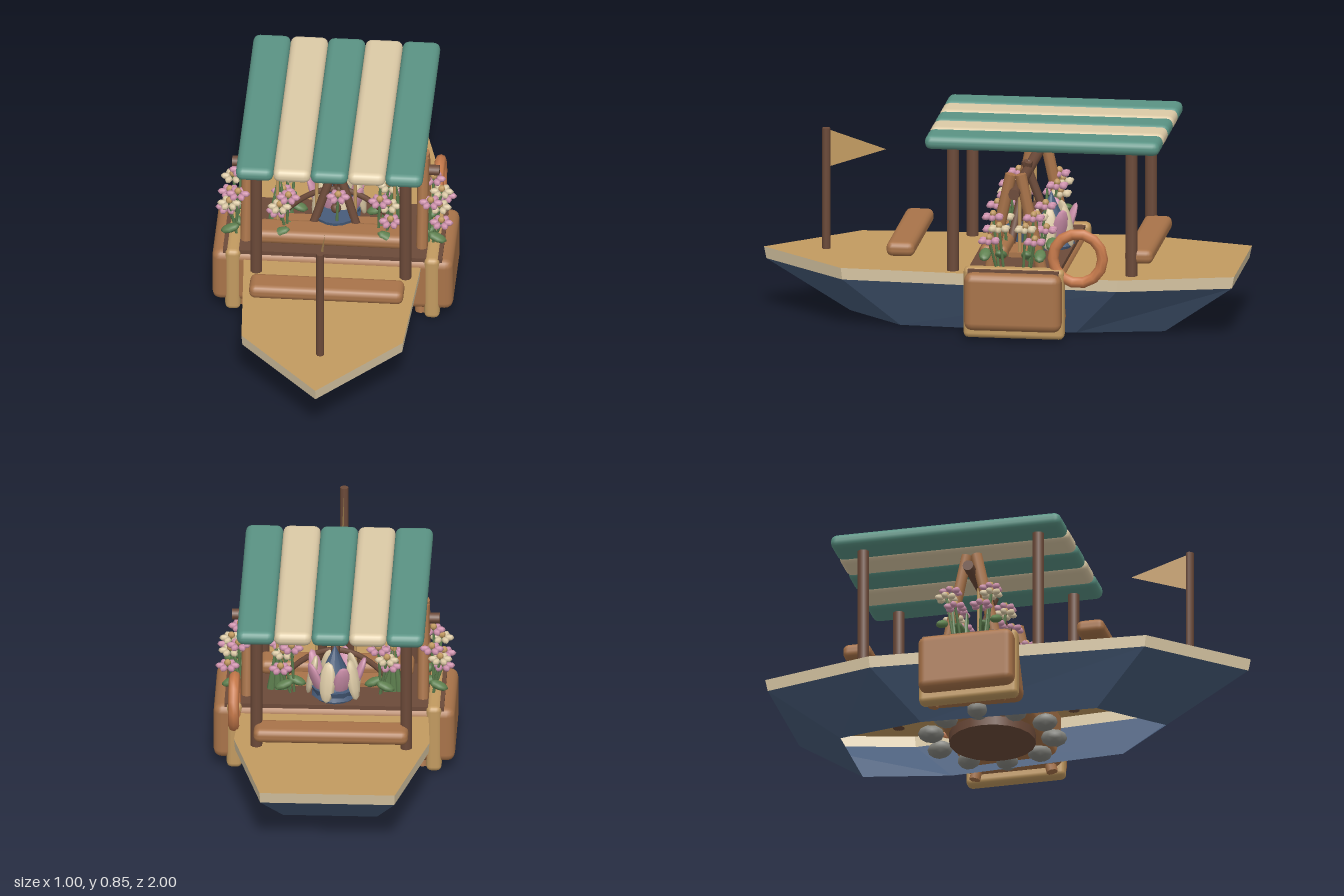
import * as THREE from 'three';
import { RoundedBoxGeometry } from 'three/addons/geometries/RoundedBoxGeometry.js';

const mat = (name, color) => {
  const m = new THREE.MeshStandardMaterial({ color, side: THREE.DoubleSide });
  m.name = name;
  return m;
};

export function createModel() {
  const model = new THREE.Group();
  model.name = 'gardenBoat';
  const teal = mat('teal', 0x5a9384), cream = mat('cream', 0xdccaa6), tan = mat('tan', 0xc29a60),
    brown = mat('brown', 0xa87349), dark = mat('darkBrown', 0x6c4a39), blue = mat('slateBlue', 0x475c7a),
    green = mat('leafGreen', 0x5f8150), pink = mat('pink', 0xcf92ad), grey = mat('stoneGrey', 0x85857f),
    coral = mat('coral', 0xc97b4c);

  const add = (name, geo, material, x = 0, y = 0, z = 0, parent = model) => {
    const m = new THREE.Mesh(geo, material);
    m.name = name;
    m.position.set(x, y, z);
    parent.add(m);
    return m;
  };
  const rounded = (name, w, h, d, r, material, x, y, z) =>
    add(name, new RoundedBoxGeometry(w, h, d, 2, r), material, x, y, z);
  // Round pole between two points
  const pole = (name, a, b, r, material, sides = 8, parent = model, rTop = r) => {
    const p = new THREE.Vector3(...a), q = new THREE.Vector3(...b), dir = q.clone().sub(p);
    const m = add(name, new THREE.CylinderGeometry(rTop, r, dir.length(), sides), material, 0, 0, 0, parent);
    m.position.copy(p).add(q).multiplyScalar(0.5);
    m.quaternion.setFromUnitVectors(new THREE.Vector3(0, 1, 0), dir.normalize());
    return m;
  };

  // Hull: flat-faced walls lofted between outlines given as [x, z]
  const mirror = half => [...half, ...half.slice(1).reverse().map(([x, z]) => [-x, z])];
  const rim = mirror([[0, 1], [0.335, 0.635], [0.405, -0.53], [0.28, -1]]);
  const keel = mirror([[0, 0.64], [0.23, 0.4], [0.27, -0.34], [0.195, -0.7]]);
  const wall = (low, y0, high, y1) => {
    const v = [];
    low.forEach((a, i) => {
      const j = (i + 1) % low.length, b = low[j], c = high[j], d = high[i];
      v.push(a[0], y0, a[1], b[0], y0, b[1], c[0], y1, c[1], a[0], y0, a[1], c[0], y1, c[1], d[0], y1, d[1]);
    });
    const g = new THREE.BufferGeometry();
    g.setAttribute('position', new THREE.Float32BufferAttribute(v, 3));
    g.computeVertexNormals();
    return g;
  };
  const band = rim.map(([x, z]) => [x * 0.99, z * 0.99]);
  add('hull', wall(keel, 0.005, band, 0.215), blue);
  add('gunwaleBand', wall(band, 0.215, rim, 0.265), cream);
  const deckShape = new THREE.Shape(rim.map(([x, z]) => new THREE.Vector2(x, -z)));
  add('deck', new THREE.ShapeGeometry(deckShape).rotateX(-Math.PI / 2), tan, 0, 0.265, 0);

  // Canopy stripes and posts
  for (let i = 0; i < 5; i++) {
    rounded('canopyStripe', 0.156, 0.06, 0.98, 0.028, i % 2 ? cream : teal, (i - 2) * 0.155, 0.82, -0.21);
  }
  for (const x of [-0.31, 0.31]) for (const z of [0.17, -0.575]) {
    pole('canopyPost', [x, 0.265, z], [x, 0.8, z], 0.025, dark, 10);
  }

  // Benches
  for (const z of [0.39, 0, -0.605]) rounded('bench', 0.64, 0.062, 0.118, 0.026, brown, 0, 0.345, z);

  // Flagpole and pennant
  pole('flagpole', [0, 0.265, 0.74], [0, 0.778, 0.74], 0.017, dark);
  const pennant = new THREE.Shape([[0, 0.61], [0.25, 0.695], [0, 0.775]].map(p => new THREE.Vector2(...p)));
  add('pennant', new THREE.ShapeGeometry(pennant).rotateY(Math.PI / 2), tan, 0, 0, 0.74);

  // Life ring hung on one side
  const ring = add('lifeRing', new THREE.TorusGeometry(0.104, 0.023, 8, 14), coral, 0.41, 0.355, -0.365);
  ring.rotation.y = Math.PI / 2;

  // Crosswise planter trunk with straps and soil
  rounded('planterTrunk', 1, 0.245, 0.405, 0.035, brown, 0, 0.172, -0.1);
  for (const x of [-0.413, 0.413]) rounded('planterStrap', 0.064, 0.3, 0.42, 0.022, tan, x, 0.16, -0.1);
  add('soil', new THREE.BoxGeometry(0.91, 0.025, 0.38), dark, 0, 0.292, -0.1);

  // Stone ring and hearth disc under the trunk
  for (let i = 0; i < 10; i++) {
    const a = i / 10 * Math.PI * 2;
    const s = add('hearthStone', new THREE.IcosahedronGeometry(0.055, 1), grey,
      Math.cos(a) * 0.255, 0.037, -0.1 + Math.sin(a) * 0.255);
    s.scale.set(1, 0.65, 0.85);
    s.rotation.y = -a;
  }
  add('hearthDisc', new THREE.CylinderGeometry(0.18, 0.18, 0.04, 20), dark, 0, 0.026, -0.1);

  // Swing frame: two A-frames, a crossbar and two hanging seats
  for (const x of [-0.365, 0.365]) for (const s of [-1, 1]) {
    pole('swingLeg', [x, 0.02, -0.1 + s * 0.165], [x, 0.695, -0.1 + s * 0.02], 0.024, brown, 8);
  }
  pole('swingCrossbar', [-0.43, 0.622, -0.1], [0.43, 0.622, -0.1], 0.023, dark, 10);
  for (const s of [-1, 1]) {
    for (const x of [0.08, 0.243]) pole('swingRope', [s * x, 0.32, -0.1], [s * x, 0.62, -0.1], 0.007, tan, 6);
    add('swingSeat', new THREE.BoxGeometry(0.2, 0.02, 0.09), brown, s * 0.16, 0.325, -0.1);
  }

  // Tripod with a hanging pot
  for (let i = 0; i < 3; i++) {
    const a = Math.PI / 6 + i * Math.PI * 2 / 3;
    pole('tripodPole', [Math.cos(a) * 0.2, 0.1, -0.1 + Math.sin(a) * 0.2],
      [-Math.cos(a) * 0.01, 0.665, -0.1 - Math.sin(a) * 0.01], 0.018, dark, 8);
  }
  add('pot', new THREE.CylinderGeometry(0.09, 0.075, 0.085, 16), blue, 0, 0.347, -0.1);
  add('potKnob', new THREE.SphereGeometry(0.022, 10, 8), dark, 0, 0.405, -0.1);
  pole('potChain', [0, 0.4, -0.1], [0, 0.64, -0.1], 0.006, dark, 6);

  // Wooden arch
  const arch = new THREE.QuadraticBezierCurve3(new THREE.Vector3(-0.21, 0.36, -0.13),
    new THREE.Vector3(0, 0.6, -0.13), new THREE.Vector3(0.21, 0.36, -0.13));
  add('arch', new THREE.TubeGeometry(arch, 16, 0.012, 6), dark);

  // Large blossom behind the pot
  const blossom = new THREE.Group();
  blossom.name = 'blossom';
  blossom.position.set(0, 0.3, -0.2);
  model.add(blossom);
  add('blossomCup', new THREE.CylinderGeometry(0.1, 0.08, 0.06, 14), blue, 0, 0.03, 0, blossom);
  add('blossomHeart', new THREE.ConeGeometry(0.1, 0.22, 10), blue, 0, 0.13, 0, blossom);
  for (let i = 0; i < 10; i++) {
    const a = i / 10 * Math.PI * 2, outer = i % 2;
    const p = add('blossomPetal', new THREE.SphereGeometry(1, 8, 6), outer ? pink : cream,
      Math.cos(a) * 0.095, 0.1, Math.sin(a) * 0.075, blossom);
    p.scale.set(0.018, 0.09, 0.036);
    p.rotation.set(0, -a, outer ? -0.35 : 0.2);
  }

  // Flowers: petals around a pale centre on a stem
  const flower = (x, y, z, lean, material) => {
    const g = new THREE.Group();
    g.name = 'flower';
    model.add(g);
    pole('stem', [x - lean, 0.3, z * 0.75 - 0.025], [x, y, z], 0.006, green, 5, g);
    for (let i = 0; i < 6; i++) {
      const a = i / 6 * Math.PI * 2;
      const p = add('petal', new THREE.SphereGeometry(1, 6, 4), material,
        x + Math.cos(a) * 0.03, y, z + Math.sin(a) * 0.03, g);
      p.scale.set(0.021, 0.013, 0.015);
      p.rotation.y = -a;
    }
    add('flowerCentre', new THREE.SphereGeometry(0.015, 6, 5), tan, x, y + 0.014, z, g);
  };
  const leaf = (x, y, z, tilt) => {
    const l = add('leaf', new THREE.SphereGeometry(1, 8, 6), green, x, y, z);
    l.scale.set(0.042, 0.017, 0.026);
    l.rotation.z = tilt;
  };
  for (const s of [-1, 1]) {
    for (const [x, z] of [[0.42, -0.02], [0.42, -0.17], [0.21, -0.01], [0.2, -0.19]]) {
      const near = z > -0.1, out = near ? 0.02 : -0.02;
      flower(s * (x - 0.02), 0.52, z + out * 0.5, 0.01, pink);
      flower(s * (x + 0.015), 0.478, z + (s > 0 ? -out : out), s * 0.03, cream);
      flower(s * (x + 0.025), 0.428, z + (s > 0 ? out : -out), s * 0.04, pink);
      leaf(s * (x + 0.01), 0.365, z + out * 2, s * -0.4);
      leaf(s * (x - 0.04), 0.355, z - out, s * 0.4);
    }
    // Grass tufts
    for (const k of [-1, 0, 1]) {
      pole('grassBlade', [s * 0.24 + k * 0.028, 0.3, -0.15], [s * 0.24 + k * 0.008, 0.49, -0.15],
        0.018, green, 5, model, 0.003);
    }
  }
  flower(0.015, 0.52, -0.02, 0.01, pink);
  return model;
}
